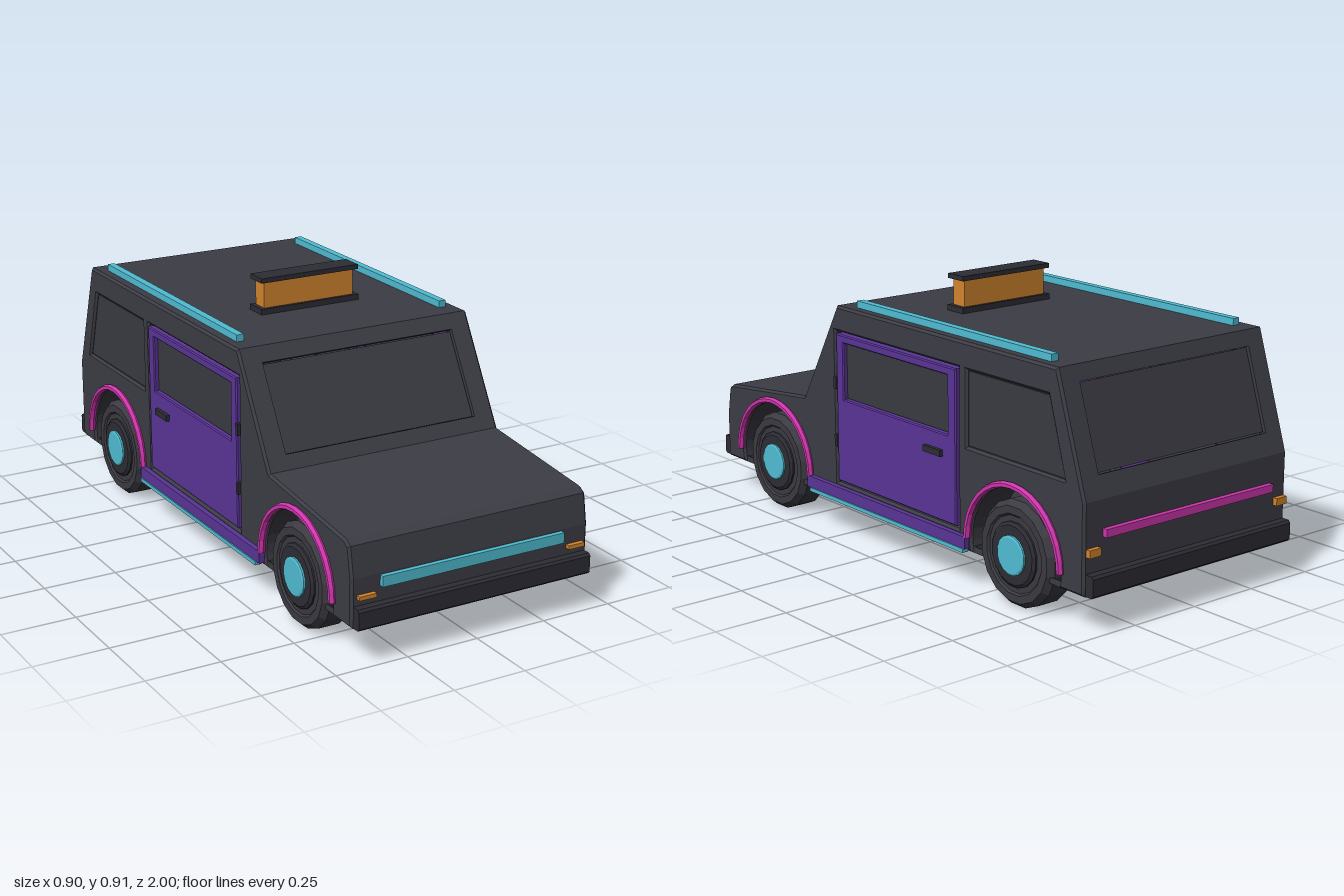
import * as THREE from 'three';

const mat = (name, color, side = THREE.FrontSide) =>
  new THREE.MeshStandardMaterial({ name, color, side, flatShading: true });

export function createModel() {
  const model = new THREE.Group();
  model.name = 'vehicle';
  const body = mat('charcoalBody', 0x3c3c45, THREE.DoubleSide);
  const glass = mat('darkGlass', 0x3a3a42);
  const black = mat('blackTrim', 0x2c2c34);
  const tyreMat = mat('tyreRubber', 0x3a3a41);
  const purple = mat('purple', 0x5a3496);
  const cyan = mat('cyan', 0x4fbdd2);
  const magenta = mat('magenta', 0xcf35ad);
  const orange = mat('orange', 0xd2842d);

  const add = (name, geo, material, x = 0, y = 0, z = 0, parent = model) => {
    const m = new THREE.Mesh(geo, material);
    m.name = name;
    m.position.set(x, y, z);
    parent.add(m);
    return m;
  };
  // box given by its min and max on each axis
  const box = (name, material, x0, x1, y0, y1, z0, z1) =>
    add(name, new THREE.BoxGeometry(x1 - x0, y1 - y0, z1 - z0), material,
      (x0 + x1) / 2, (y0 + y1) / 2, (z0 + z1) / 2);
  const poly = (pts) => new THREE.Shape(pts.map(([a, b]) => new THREE.Vector2(a, b)));
  const rect = (a0, a1, b0, b1) => [[a0, b0], [a1, b0], [a1, b1], [a0, b1]];

  const W = 0.43, BEVEL = 0.008;
  const wheelZ = [0.65, -0.65], wheelY = 0.17, archR = 0.21, archA = 0.24;

  // side-on shape (z, y) made into a plate whose outer face lies at |x| = outer
  const sidePlate = (name, shape, material, s, outer, t, bevel = 0) => {
    const g = new THREE.ExtrudeGeometry(shape, {
      depth: t - 2 * bevel, bevelEnabled: bevel > 0, bevelSize: bevel,
      bevelThickness: bevel, bevelOffset: -bevel, bevelSegments: 1, curveSegments: 14,
    });
    g.rotateY(-Math.PI / 2);
    return add(name, g, material, s > 0 ? outer - bevel : -outer + t - bevel);
  };

  // body outline (z, y): up the front, over the roof, down the back
  const profile = [[0.967, 0.12], [0.967, 0.28], [0.95, 0.378], [0.925, 0.394], [0.47, 0.443],
    [0.27, 0.793], [-0.84, 0.793], [-0.965, 0.41], [-0.965, 0.12]];
  const doorHole = rect(-0.377, 0.277, 0.182, 0.706);
  const doorPts = rect(-0.37, 0.268, 0.19, 0.7);
  const doorWindow = rect(-0.328, 0.228, 0.48, 0.672);
  const doorGlass = rect(-0.325, 0.225, 0.483, 0.669);
  const quarterHole = [[-0.42, 0.46], [-0.42, 0.705], [-0.802, 0.705], [-0.876, 0.46]];
  const quarterGlass = [[-0.423, 0.463], [-0.423, 0.702], [-0.8, 0.702], [-0.872, 0.463]];

  for (const s of [1, -1]) {
    const side = s > 0 ? 'left' : 'right';
    // side wall with wheel arches, door and window openings
    const wall = poly(profile);
    for (const z of [...wheelZ].reverse())
      wall.absarc(z, wheelY, archR, Math.PI + archA, -archA, true);
    wall.closePath();
    wall.holes.push(poly(doorHole), poly(quarterHole));
    sidePlate(side + 'BodySide', wall, body, s, W, 0.04, BEVEL);

    // door, its window and fittings
    const door = poly(doorPts);
    door.holes.push(poly(doorWindow));
    sidePlate(side + 'Door', door, purple, s, W + 0.004, 0.036, 0.004);
    sidePlate(side + 'DoorGlass', poly(doorGlass), glass, s, W - 0.01, 0.015);
    sidePlate(side + 'QuarterGlass', poly(quarterGlass), glass, s, W - 0.008, 0.015);
    const slab = (name, m, x0, x1, ...yz) =>
      box(side + name, m, s > 0 ? x0 : -x1, s > 0 ? x1 : -x0, ...yz);
    slab('DoorHandle', black, W, 0.447, 0.405, 0.426, -0.305, -0.218);
    for (const y of [0.33, 0.53])
      slab('DoorHinge', black, W - 0.01, 0.438, y - 0.02, y + 0.02, 0.266, 0.28);

    // running board, glow strip and roof rail
    slab('RunningBoard', purple, 0.39, 0.448, 0.132, 0.172, -0.43, 0.435);
    slab('GlowStrip', cyan, 0.43, 0.452, 0.12, 0.133, -0.425, 0.415);
    slab('RoofRail', cyan, 0.368, 0.394, 0.79, 0.816, -0.775, 0.2);

    // indicators
    slab('FrontIndicator', orange, 0.35, 0.41, 0.213, 0.226, 0.96, 0.983);
    slab('RearIndicator', orange, 0.375, 0.42, 0.243, 0.268, -0.981, -0.96);

    for (const z of wheelZ) {
      // wheel well
      const liner = new THREE.CylinderGeometry(archR, archR, 0.12, 20, 1, true,
        -archA, Math.PI + 2 * archA).rotateZ(Math.PI / 2);
      add('wheelWell', liner, body, s * 0.355, wheelY, z);
      const inner = new THREE.CircleGeometry(archR, 20, -archA, Math.PI + 2 * archA)
        .rotateY(Math.PI / 2);
      add('wheelWellWall', inner, body, s * 0.297, wheelY, z);

      // arch trim
      const trim = new THREE.TorusGeometry(0.22, 0.011, 6, 16, Math.PI)
        .rotateY(Math.PI / 2).scale(1.2, 1, 1);
      add('archTrim', trim, magenta, s * 0.437, wheelY, z);

      // wheel: stepped tyre and rim with a coloured hub
      const wheel = new THREE.Group();
      wheel.name = 'wheel';
      wheel.position.set(s * 0.372, wheelY, z);
      if (s < 0) wheel.rotation.y = Math.PI;
      model.add(wheel);
      const lathe = (pts) => new THREE.LatheGeometry(
        pts.map(([r, h]) => new THREE.Vector2(r, h)), 16, Math.PI / 16).rotateZ(-Math.PI / 2);
      add('tyre', lathe([[0, -0.06], [0.145, -0.06], [0.172, -0.035], [0.172, 0.04],
        [0.155, 0.06], [0.13, 0.06], [0.124, 0.054], [0, 0.054]]), tyreMat, 0, 0, 0, wheel);
      add('rim', lathe([[0.105, 0.05], [0.105, 0.06], [0.095, 0.067], [0, 0.067]]),
        black, 0, 0, 0, wheel);
      add('hub', lathe([[0.064, 0.06], [0.064, 0.073], [0.058, 0.076], [0, 0.076]]),
        cyan, 0, 0, 0, wheel);
    }
  }

  // cross panels between the side walls, one for each edge of the outline
  const names = ['grillePanel', 'nosePanel', 'hoodEdge', 'hood', 'windshieldFrame', 'roof',
    'rearWindowFrame', 'tailPanel', 'floor'];
  const windows = { windshieldFrame: [0.125, 0.865], rearWindowFrame: [0.13, 0.82] };
  const hw = W - BEVEL;
  profile.forEach(([z0, y0], i) => {
    const [z1, y1] = profile[(i + 1) % profile.length];
    const len = Math.hypot(z1 - z0, y1 - y0);
    const dir = new THREE.Vector3(0, y1 - y0, z1 - z0).normalize();
    const right = new THREE.Vector3(1, 0, 0);
    const frame = new THREE.Matrix4().makeBasis(right, dir, right.clone().cross(dir))
      .setPosition(0, y0, z0);
    const plate = (name, shape, m, t, inset = 0) => add(name,
      new THREE.ExtrudeGeometry(shape, { depth: t, bevelEnabled: false })
        .translate(0, 0, -t - inset).applyMatrix4(frame), m);
    const shape = poly(rect(-hw, hw, 0, len));
    const win = windows[names[i]];
    if (win) {
      const [a, b] = win.map((f) => f * len);
      shape.holes.push(poly(rect(-0.355, 0.355, a, b)));
      plate(i === 4 ? 'windshield' : 'rearWindow',
        poly(rect(-0.351, 0.351, a + 0.002, b - 0.005)), glass, 0.015, 0.008);
    }
    if (names[i] === 'floor')
      for (const z of wheelZ)
        for (const x of [-0.358, 0.358])
          shape.holes.push(poly(rect(x - 0.06, x + 0.06, z - z0 - 0.204, z - z0 + 0.204)));
    plate(names[i], shape, body, 0.02);
  });

  // bumpers with chamfered edges
  const bumper = poly([[0, 0.122], [0.026, 0.122], [0.033, 0.129], [0.033, 0.183],
    [0.026, 0.191], [0, 0.191]]);
  for (const s of [1, -1]) {
    const g = new THREE.ExtrudeGeometry(bumper, { depth: 0.844, bevelEnabled: false })
      .translate(0, 0, -0.422).rotateY(-s * Math.PI / 2);
    add(s > 0 ? 'frontBumper' : 'rearBumper', g, black, 0, 0, s * 0.966);
  }

  // light bars
  box('frontLightBar', cyan, -0.33, 0.33, 0.24, 0.275, 0.955, 0.983);
  box('rearLightBar', magenta, -0.355, 0.355, 0.294, 0.32, -0.982, -0.955);

  // roof sign
  box('roofSignBase', black, -0.186, 0.186, 0.79, 0.812, -0.098, -0.018);
  box('roofSign', orange, -0.17, 0.17, 0.812, 0.902, -0.087, -0.029);
  box('roofSignCap', black, -0.184, 0.184, 0.9, 0.916, -0.097, -0.019);

  return model;
}
